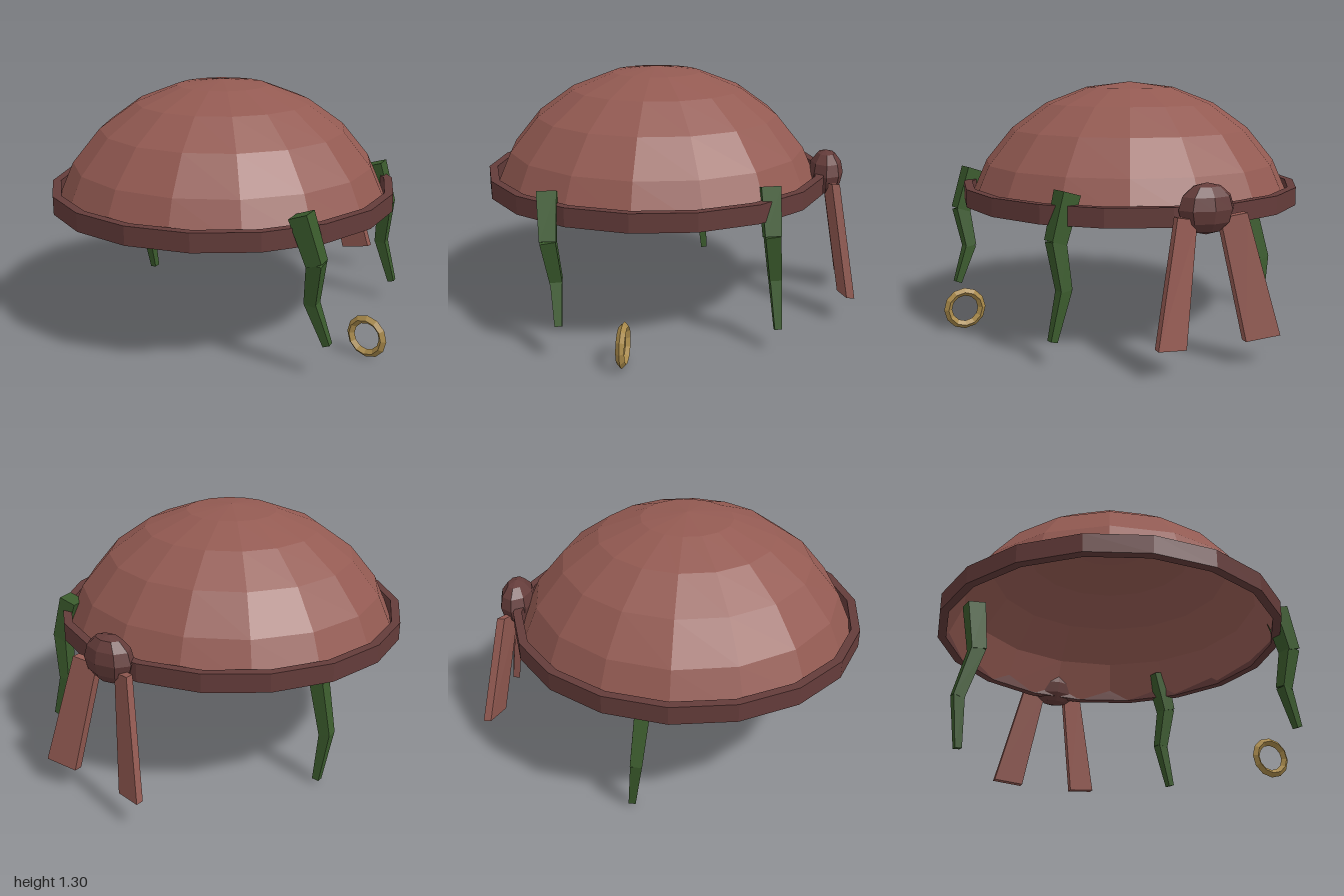
import * as THREE from 'three';

const material = (color, side = THREE.FrontSide) =>
  new THREE.MeshStandardMaterial({ color, flatShading: true, side });

export function createModel() {
  const model = new THREE.Group();
  model.name = 'domedCap';
  const cx = -0.07, cz = 0.09;
  const red = material(0x935a52, THREE.DoubleSide);
  const darkRed = material(0x643c3a);
  const green = material(0x3a5a2c);
  const gold = material(0xa8894a);

  const add = (name, geometry, mat, x = 0, y = 0, z = 0, parent = model) => {
    const mesh = new THREE.Mesh(geometry, mat);
    mesh.name = name;
    mesh.position.set(x, y, z);
    parent.add(mesh);
    return mesh;
  };

  // Open, slightly flattened dome
  const dome = new THREE.SphereGeometry(0.92, 16, 5, 0, Math.PI * 2, 0, Math.PI * 75 / 180);
  dome.scale(1, 0.86 / 0.92, 1);
  add('dome', dome, red, cx, 0.442, cz);

  // Band round the rim
  const profile = [[0.92, 0.66], [0.92, 0.755], [0.875, 0.755], [0.875, 0.66], [0.92, 0.66]]
    .map(([r, y]) => new THREE.Vector2(r, y));
  add('rimBand', new THREE.LatheGeometry(profile, 18, Math.PI / 2), darkRed, cx, 0, cz);

  // Knot at the back
  const knot = new THREE.SphereGeometry(1, 8, 6);
  knot.scale(0.145, 0.122, 0.093);
  add('knot', knot, darkRed, cx, 0.743, -0.832);

  // Two hanging ribbon tails, widening and leaning outward and back
  for (const s of [-1, 1]) {
    const tail = new THREE.BoxGeometry(1, 1, 1);
    const p = tail.attributes.position;
    for (let i = 0; i < p.count; i++) {
      const u = p.getX(i), t = 0.5 - p.getY(i), d = p.getZ(i);
      p.setXYZ(i,
        s * THREE.MathUtils.lerp(0.12, 0.235, t) + u * THREE.MathUtils.lerp(0.12, 0.16, t),
        THREE.MathUtils.lerp(0.71, 0.13, t) + s * u * 0.025,
        THREE.MathUtils.lerp(-0.86, -0.957, t) - s * u * 0.04 + d * 0.04);
    }
    tail.computeVertexNormals();
    add(s > 0 ? 'leftRibbonTail' : 'rightRibbonTail', tail, red, cx);
  }

  // Crooked vines made of three tapering square segments
  const widths = [[0.095, 0.08], [0.075, 0.06], [0.058, 0.036]];
  const up = new THREE.Vector3(0, 1, 0);
  const vine = (name, yaw, points) => {
    const group = new THREE.Group();
    group.name = name;
    const v = points.map((q) => new THREE.Vector3(...q));
    widths.forEach(([top, bottom], i) => {
      const axis = v[i].clone().sub(v[i + 1]);
      const geometry = new THREE.CylinderGeometry(
        top * Math.SQRT1_2, bottom * Math.SQRT1_2, axis.length() + 0.01, 4);
      geometry.rotateY(Math.PI / 4 + yaw);
      const mid = v[i].clone().add(v[i + 1]).multiplyScalar(0.5);
      const mesh = add('vineSegment', geometry, green, mid.x, mid.y, mid.z, group);
      mesh.quaternion.setFromUnitVectors(up, axis.normalize());
    });
    model.add(group);
  };
  vine('frontLeftVine', 0.2, [[0.725, 0.805, 0.5], [0.8, 0.59, 0.483], [0.765, 0.38, 0.46], [0.84, 0.18, 0.437]]);
  vine('backLeftVine', 0.2, [[0.51, 0.805, -0.54], [0.575, 0.585, -0.56], [0.545, 0.355, -0.58], [0.61, 0.12, -0.602]]);
  vine('rightVine', 0.1, [[-0.79, 0.79, -0.04], [-0.755, 0.55, -0.06], [-0.83, 0.285, -0.085], [-0.805, 0.025, -0.113]]);

  // Small ring beside the front left vine
  add('ring', new THREE.TorusGeometry(0.09, 0.021, 4, 12), gold, 0.87, 0.111, 0.12);

  return model;
}
